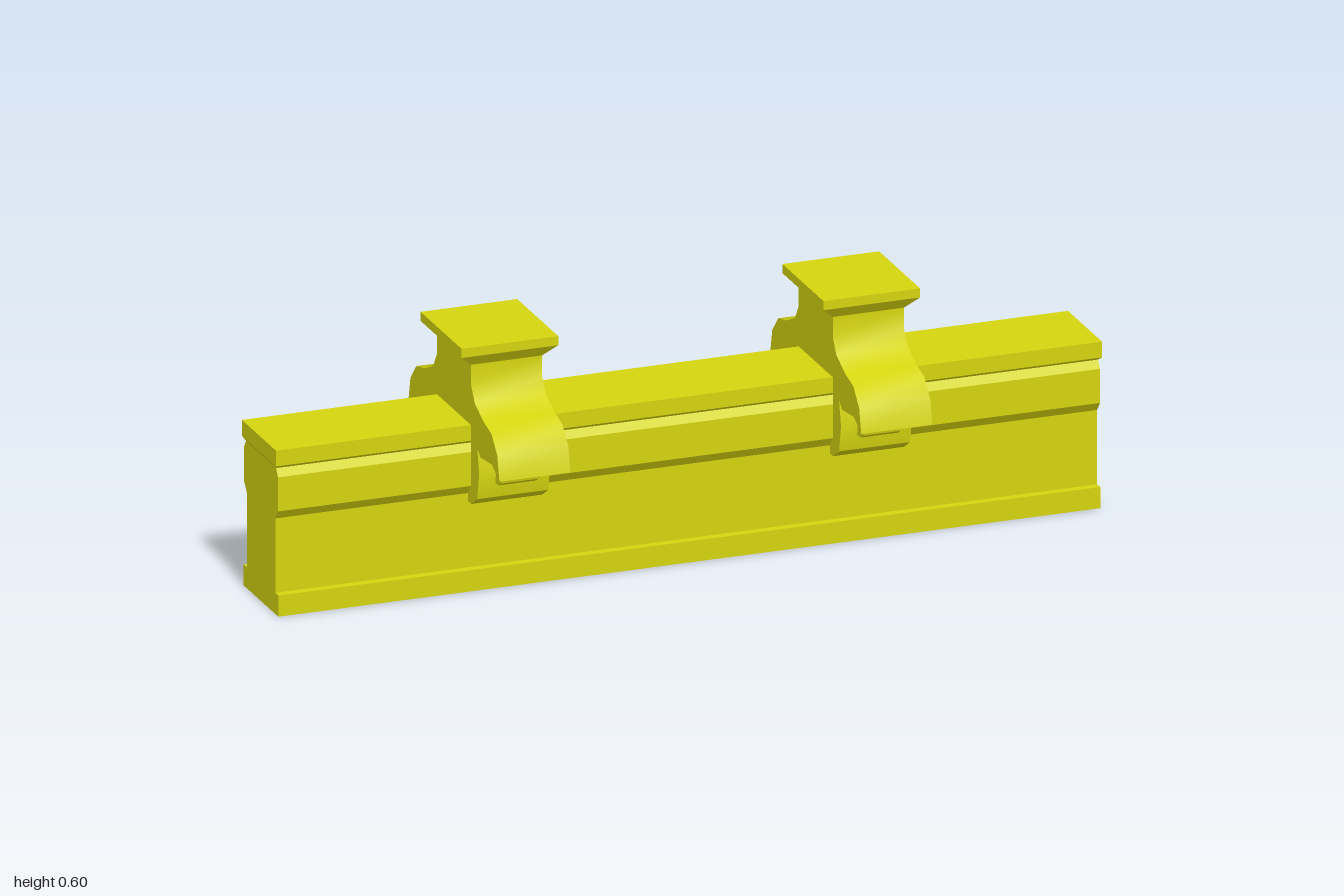
import * as THREE from 'three';
import { toCreasedNormals } from 'three/addons/utils/BufferGeometryUtils.js';

const yellow = new THREE.MeshStandardMaterial({ color: 0xd4d40f, side: THREE.DoubleSide });
yellow.name = 'yellow';

// Extrude a (z, y) outline along x, centred on x = 0
function extrudeAlongX(points, length) {
  const shape = new THREE.Shape(points.map(([z, y]) => new THREE.Vector2(z, y)));
  const geo = new THREE.ExtrudeGeometry(shape, { depth: length, bevelEnabled: false });
  return geo.translate(0, 0, -length / 2).rotateY(Math.PI / 2);
}

// Complete a half outline with its mirror image
const mirrored = (half) => [...half, ...half.map(([z, y]) => [-z, y]).reverse()];

// Drop the triangles lying on y = 0, leaving the underside open
function openBottom(geo) {
  const p = geo.toNonIndexed ? (geo.index ? geo.toNonIndexed() : geo) : geo;
  const a = p.attributes.position.array;
  const kept = [];
  for (let i = 0; i < a.length; i += 9) {
    if (Math.max(a[i + 1], a[i + 4], a[i + 7]) > 1e-5) kept.push(...a.slice(i, i + 9));
  }
  const out = new THREE.BufferGeometry();
  out.setAttribute('position', new THREE.Float32BufferAttribute(kept, 3));
  out.computeVertexNormals();
  return out;
}

// Closed rectangular block through levels [y, halfX, halfZ], bottom to top
function taperedBlock(levels) {
  const pos = [];
  const ring = ([y, hx, hz]) => [[-hx, y, hz], [hx, y, hz], [hx, y, -hz], [-hx, y, -hz]];
  const quad = (a, b, c, d) => pos.push(...a, ...b, ...c, ...a, ...c, ...d);
  const rings = levels.map(ring);
  for (let i = 0; i < rings.length - 1; i++) {
    for (let j = 0; j < 4; j++) {
      const k = (j + 1) % 4;
      quad(rings[i][j], rings[i][k], rings[i + 1][k], rings[i + 1][j]);
    }
  }
  quad(...rings[rings.length - 1]);
  quad(...rings[0].slice().reverse());
  const geo = new THREE.BufferGeometry();
  geo.setAttribute('position', new THREE.Float32BufferAttribute(pos, 3));
  geo.computeVertexNormals();
  return geo;
}

function addMesh(parent, name, geo) {
  const mesh = new THREE.Mesh(geo, yellow);
  mesh.name = name;
  parent.add(mesh);
  return mesh;
}

function createClamp(name, x) {
  const clamp = new THREE.Group();
  clamp.name = name;

  // Saddle: neck, curved wings, jaws and the arch fitting the rail
  const half = [
    [0.108, 0.545], [0.108, 0.497], [0.131, 0.461], [0.185, 0.436], [0.238, 0.423],
    [0.275, 0.383], [0.288, 0.325], [0.24, 0.35], [0.168, 0.342], [0.148, 0.357],
    [0.16, 0.3], [0.148, 0.235], [0.109, 0.21], [0.09, 0.21], [0.09, 0.23],
    [0.108, 0.253], [0.108, 0.4],
  ];
  addMesh(clamp, 'saddle', toCreasedNormals(extrudeAlongX(mirrored(half), 0.172), 0.75));

  // Narrow lug under each wing
  const lug = [
    [0.15, 0.346], [0.203, 0.347], [0.203, 0.32], [0.194, 0.283],
    [0.175, 0.272], [0.153, 0.272],
  ];
  for (const side of [1, -1]) {
    const outline = lug.map(([z, y]) => [z * side, y]);
    addMesh(clamp, side > 0 ? 'frontLug' : 'backLug', extrudeAlongX(outline, 0.09));
  }

  // Flared square head
  addMesh(clamp, 'head', taperedBlock([
    [0.545, 0.086, 0.108], [0.573, 0.117, 0.13], [0.595, 0.117, 0.13],
  ]));

  clamp.position.x = x;
  return clamp;
}

export function createModel() {
  const model = new THREE.Group();
  model.name = 'railWithClamps';

  // Hollow rail body, open underneath
  const railHalf = [
    [0.11, 0], [0.11, 0.051], [0.09, 0.051], [0.09, 0.23],
    [0.108, 0.253], [0.108, 0.335], [0.095, 0.353],
  ];
  addMesh(model, 'railBody', openBottom(extrudeAlongX(mirrored(railHalf), 1.99)));

  // Flat strip along the top of the rail
  addMesh(model, 'railCap', taperedBlock([
    [0.353, 0.995, 0.095], [0.362, 1, 0.108], [0.4, 1, 0.108],
  ]));

  model.add(createClamp('rightClamp', -0.442), createClamp('leftClamp', 0.434));
  return model;
}
